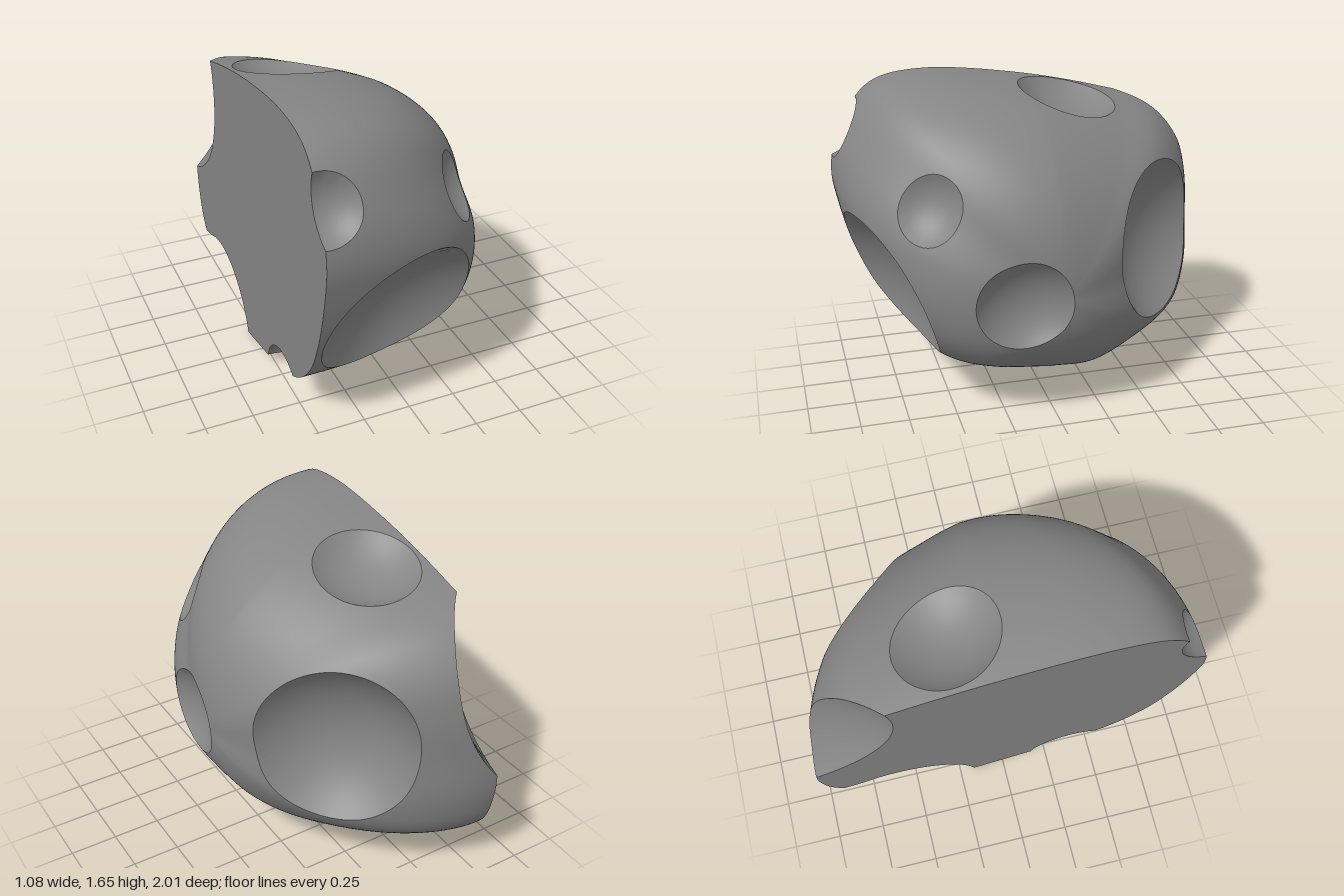
import * as THREE from 'three';
import { toCreasedNormals } from 'three/addons/utils/BufferGeometryUtils.js';

const CUT_X = -0.545, DEPTH_X = 1.085, SINK = 0.08;
const CENTRE = new THREE.Vector3(CUT_X, 0.8, 0);
const ROWS = 110, COLS = 220;

// Outline of the rock on the cut plane, as [z, y]
const outline = [
  [1, 1.12], [0.97, 1.3], [0.86, 1.51], [0.74, 1.61], [0.5, 1.65], [0, 1.6], [-0.5, 1.49],
  [-0.77, 1.4], [-0.92, 1.24], [-0.98, 1.05], [-1, 0.8], [-1, 0.5], [-0.92, 0.28], [-0.6, 0.08],
  [-0.32, -0.01], [0, 0.04], [0.36, 0.14], [0.6, 0.25], [0.78, 0.43], [0.9, 0.68], [0.98, 0.97],
];

// Craters: position, outward direction, rim radius and depth.
// A fixed one gives its rim centre, the others are set onto the surface.
const craters = [
  { at: [-0.1, 0.635, 0.765], n: [0.26, -0.4, 0.88], r: 0.43, depth: 0.14, fixed: true },
  { at: [0.155, 0.86, -0.59], n: [0.66, 0, -0.75], r: 0.41, depth: 0.17, fixed: true },
  { at: [-1.25, 1.04, -0.765], n: [0, 0.456, -0.89], r: 0.826, depth: 0.447, fixed: true },
  { at: [0.5, 0.775, 0.18], n: [1, -0.05, 0.15], r: 0.235, depth: 0.09 },
  { at: [0.28, 1.18, 0.59], n: [0.75, 0.4, 0.55], r: 0.16, depth: 0.05 },
  { at: [-0.24, 1.55, -0.25], n: [0.1, 0.98, -0.2], r: 0.245, depth: 0.08 },
  { at: [-0.52, 1.375, 0.92], n: [0, 0.35, 0.94], r: 0.175, depth: 0.08 },
  { at: [-0.54, 0.13, 0.35], n: [-0.1, -0.93, 0.35], r: 0.19, depth: 0.09 },
  { at: [-0.6, 0.06, -0.55], n: [0, -0.95, -0.25], r: 0.37, depth: 0.2 },
  { at: [-0.03, 0.15, -0.06], n: [0.4, -0.9, 0.1], r: 0.13, depth: 0.05 },
];

// Smooth polar lookup of the outline around the centre
function makeOutlineRadius() {
  const curve = new THREE.CatmullRomCurve3(
    outline.map(([z, y]) => new THREE.Vector3(0, y - CENTRE.y, z)), true);
  const polar = curve.getPoints(500).slice(0, -1)
    .map((p) => [Math.atan2(p.y, p.z), Math.hypot(p.y, p.z)])
    .sort((a, b) => a[0] - b[0]);
  const first = polar[0], last = polar[polar.length - 1];
  polar.unshift([last[0] - 2 * Math.PI, last[1]]);
  polar.push([first[0] + 2 * Math.PI, first[1]]);
  return (angle) => {
    const k = Math.max(1, polar.findIndex((p) => p[0] >= angle));
    const [a0, r0] = polar[k - 1], [a1, r1] = polar[k];
    return THREE.MathUtils.lerp(r0, r1, (angle - a0) / Math.max(1e-6, a1 - a0));
  };
}

// Uncratered body, relative to the centre: full at the front, tapered at the
// back, with flatter shoulders at the upper front and underneath
function makeBody() {
  const outlineRadius = makeOutlineRadius();
  const flatter = (angle, at, width) => Math.exp(-(((angle - at) / width) ** 2));
  return (d) => {
    const angle = Math.atan2(d.y, d.z), c = Math.cos(angle);
    const power = 2.6 + c * (c > 0 ? 0.3 : 0.93)
      - 0.85 * flatter(angle, 0.65, 0.5) - 0.35 * flatter(angle, -1.57, 0.6);
    const side = Math.hypot(d.y, d.z) / outlineRadius(angle);
    const along = Math.max(0, d.x / DEPTH_X);
    const r = (along ** power + side ** power) ** (-1 / power);
    const p = d.clone().multiplyScalar(r);
    p.y -= SINK * (along * r) ** 3;
    return p;
  };
}

// Each crater is carved by a sphere whose cap has the wanted rim and depth
function makeCarver(c, body) {
  const n = new THREE.Vector3(...c.n).normalize();
  let p = new THREE.Vector3(...c.at).sub(CENTRE);
  if (!c.fixed) p = body(p.normalize()).addScaledVector(n, -0.5 * c.r * c.r);
  const h = (c.r * c.r - c.depth * c.depth) / (2 * c.depth);
  return { centre: p.addScaledVector(n, h), radius: h + c.depth };
}

// Direction for a grid position: row 0 is the +x pole, the last row the cut
function direction(i, j) {
  const theta = (i / ROWS) * Math.PI / 2, phi = (j / COLS) * 2 * Math.PI;
  return new THREE.Vector3(i === ROWS ? 0 : Math.cos(theta),
    Math.sin(theta) * Math.sin(phi), Math.sin(theta) * Math.cos(phi));
}

export function createModel() {
  const group = new THREE.Group();
  group.name = 'halfAsteroid';
  const material = new THREE.MeshStandardMaterial({ color: 0x858585 });
  const body = makeBody();
  const carvers = craters.map((c) => makeCarver(c, body));

  // Positive inside a crater, zero on its rim
  const inside = (i, j) => {
    const p = body(direction(i, j));
    return Math.max(...carvers.map((s) => s.radius - p.distanceTo(s.centre)));
  };

  const surfacePoint = (i, j) => {
    const p = body(direction(i, j)), base = p.length(), d = p.normalize();
    let r = base;
    for (const { centre, radius } of carvers) {
      const b = d.dot(centre);
      const disc = b * b - centre.lengthSq() + radius * radius;
      if (disc <= 0) continue;
      const near = b - Math.sqrt(disc), far = b + Math.sqrt(disc);
      if (near > 0 && near < r && far > base) r = near;
    }
    return d.multiplyScalar(r).add(CENTRE);
  };

  // Slide grid points near a rim onto it, so that the rims are clean
  const value = [];
  for (let i = 0; i <= ROWS; i++) {
    value.push(Array.from({ length: COLS }, (_, j) => inside(i, j)));
  }
  const steps = [[0, 1], [0, -1], [1, 0], [-1, 0]];
  const snap = (i, j) => {
    let best = 0.5, move = null;
    for (const [di, dj] of steps) {
      if (di && (i + di < 1 || i + di > ROWS || i === ROWS)) continue;
      const v = value[i][j], w = value[i + di][(j + dj + COLS) % COLS];
      const f = v / (v - w);
      if (v * w < 0 && f < best) {
        best = f;
        move = [i + di * f, j + dj * f];
      }
    }
    return move;
  };

  // Cratered half shell; quads are split along the rims
  const points = [], onRim = [], index = [];
  for (let i = 0; i <= ROWS; i++) {
    for (let j = 0; j <= COLS; j++) {
      const move = i > 0 ? snap(i, j % COLS) : null;
      points.push(surfacePoint(...(move || [i, j % COLS])));
      onRim.push(move !== null);
    }
  }
  for (let i = 0; i < ROWS; i++) {
    for (let j = 0; j < COLS; j++) {
      const a = i * (COLS + 1) + j, b = a + 1, c = a + COLS + 1, d = c + 1;
      if (i === 0) index.push(b, d, c);
      else if (onRim[a] && onRim[d]) index.push(a, b, d, a, d, c);
      else index.push(a, b, c, b, d, c);
    }
  }
  const shell = new THREE.BufferGeometry().setFromPoints(points);
  shell.setIndex(index);
  const rock = new THREE.Mesh(toCreasedNormals(shell, 0.4), material);
  rock.name = 'crateredRock';
  group.add(rock);

  // Flat cut face
  const rim = points.slice(ROWS * (COLS + 1));
  const fan = [];
  for (let j = 0; j < COLS; j++) fan.push(CENTRE, rim[j], rim[j + 1]);
  const cap = new THREE.BufferGeometry().setFromPoints(fan);
  cap.computeVertexNormals();
  const face = new THREE.Mesh(cap, material);
  face.name = 'cutFace';
  group.add(face);

  return group;
}
